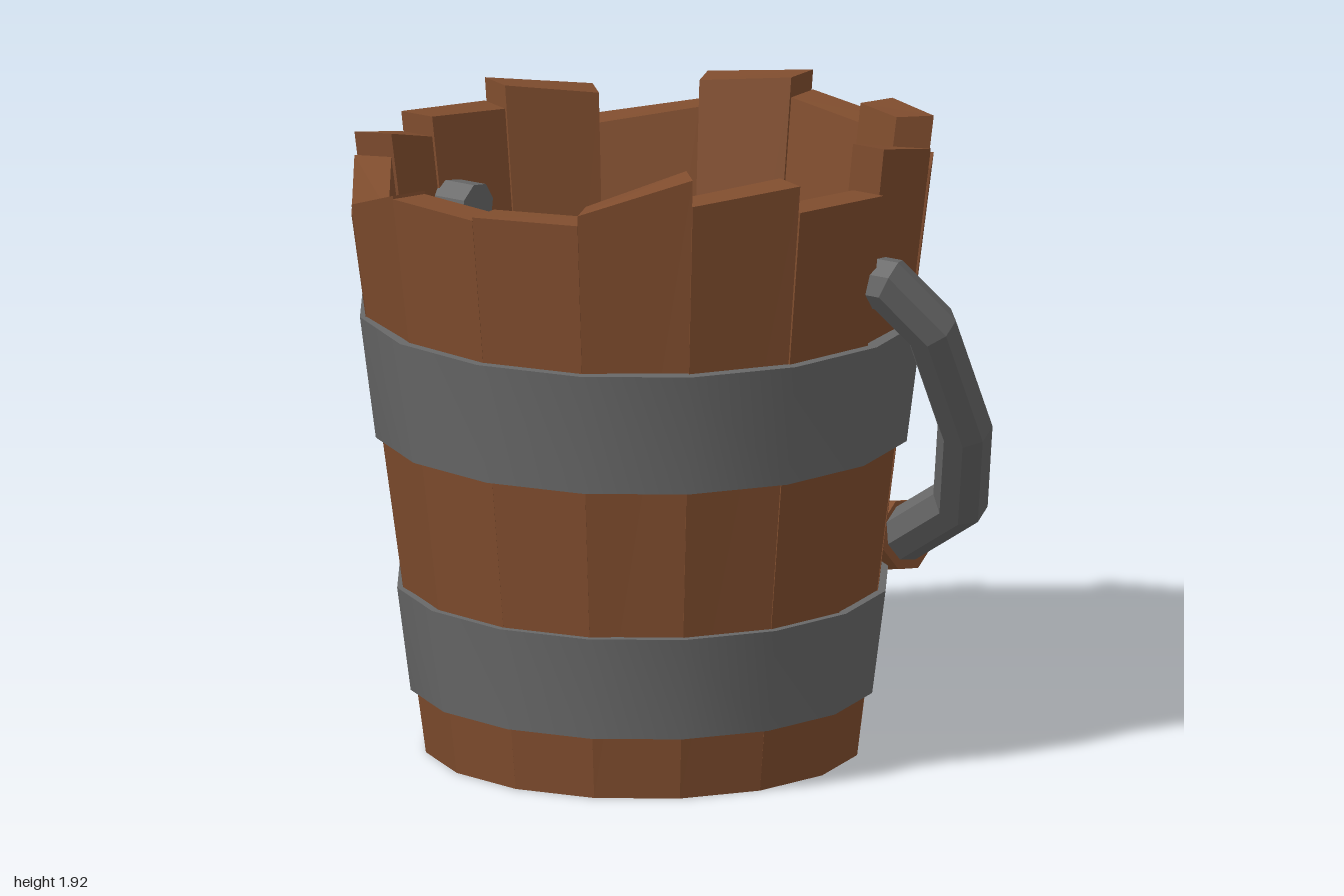
import * as THREE from 'three';
import { toCreasedNormals } from 'three/addons/utils/BufferGeometryUtils.js';

const SIDES = 16;
const STEP = (Math.PI * 2) / SIDES;
const AXIS_X = -0.03; // the tub sits slightly off centre, the handle balances it

// Top heights of each stave at its two edges, starting at +x and turning towards +z
const STAVE_TOPS = [
  [1.78, 1.76], [1.82, 1.85], [1.74, 1.78], [1.84, 1.92],
  [1.78, 1.79], [1.87, 1.84], [1.92, 1.81], [1.78, 1.77],
  [1.76, 1.76], [1.77, 1.66], [1.63, 1.72], [1.79, 1.71],
  [1.77, 1.74], [1.81, 1.76], [1.67, 1.72], [1.80, 1.84],
];

// A box bent into a tapered stave with a slanted top
function staveGeometry(k, [startTop, endTop]) {
  const g = new THREE.BoxGeometry(1, 1, 1);
  const p = g.attributes.position;
  for (let i = 0; i < p.count; i++) {
    const f = 0.5 - p.getX(i);
    const top = p.getY(i) > 0;
    const outer = p.getZ(i) > 0;
    const r = top ? (outer ? 0.86 : 0.75) : (outer ? 0.64 : 0.53);
    const a = (k + f) * STEP;
    const y = top ? startTop + (endTop - startTop) * f : 0;
    p.setXYZ(i, Math.cos(a) * r, y, Math.sin(a) * r);
  }
  const flat = g.toNonIndexed();
  flat.computeVertexNormals();
  return flat;
}

// Closed metal hoop with smooth sides and sharp rims
function hoopGeometry(y0, r0, y1, r1) {
  const t = 0.05;
  const profile = [[r0, y0], [r1, y1], [r1 - t, y1], [r0 - t, y0], [r0, y0]];
  const g = new THREE.LatheGeometry(profile.map(([r, y]) => new THREE.Vector2(r, y)), SIDES);
  return toCreasedNormals(g, 0.7);
}

// Faceted bar with mitred corners along a path lying in the plane with normal n
function barGeometry(path, n, radius, sides = 8) {
  const pos = [];
  const index = [];
  const push = (v) => pos.push(v.x, v.y, v.z);
  path.forEach((pt, i) => {
    const before = pt.clone().sub(path[Math.max(i - 1, 0)]).normalize();
    const after = path[Math.min(i + 1, path.length - 1)].clone().sub(pt).normalize();
    const t = before.clone().add(after).normalize();
    const stretch = 1 / t.dot(i ? before : after);
    const m = t.clone().cross(n);
    for (let j = 0; j < sides; j++) {
      const a = ((j + 0.5) / sides) * Math.PI * 2;
      push(pt.clone()
        .addScaledVector(n, Math.cos(a) * radius)
        .addScaledVector(m, Math.sin(a) * radius * stretch));
    }
  });
  const last = path.length - 1;
  push(path[0]);
  push(path[last]);
  const c0 = path.length * sides;
  for (let j = 0; j < sides; j++) {
    const k = (j + 1) % sides;
    for (let i = 0; i < last; i++) {
      const a = i * sides + j, b = i * sides + k;
      index.push(a, b, b + sides, a, b + sides, a + sides);
    }
    index.push(c0, k, j, c0 + 1, last * sides + j, last * sides + k);
  }
  const g = new THREE.BufferGeometry();
  g.setAttribute('position', new THREE.Float32BufferAttribute(pos, 3));
  g.setIndex(index);
  const flat = g.toNonIndexed();
  flat.computeVertexNormals();
  return flat;
}

export function createModel() {
  const wood = new THREE.MeshStandardMaterial({ color: 0x804d2e });
  wood.name = 'wood';
  const iron = new THREE.MeshStandardMaterial({ color: 0x686868 });
  iron.name = 'iron';

  const model = new THREE.Group();
  model.name = 'bucket';
  const add = (parent, name, geometry, material) => {
    const mesh = new THREE.Mesh(geometry, material);
    mesh.name = name;
    parent.add(mesh);
    return mesh;
  };

  // Tub: staves, floor and hoops
  const tub = new THREE.Group();
  tub.name = 'tub';
  tub.position.x = AXIS_X;
  model.add(tub);
  STAVE_TOPS.forEach((tops, k) => add(tub, `stave${k + 1}`, staveGeometry(k, tops), wood));
  const floor = new THREE.CylinderGeometry(0.556, 0.532, 0.2, SIDES).toNonIndexed();
  floor.computeVertexNormals();
  add(tub, 'floor', floor, wood).position.y = 0.1;
  add(tub, 'upperHoop', hoopGeometry(0.955, 0.788, 1.32, 0.835), iron);
  add(tub, 'lowerHoop', hoopGeometry(0.19, 0.685, 0.5, 0.725), iron);

  // Swinging handle, hanging down towards +x
  const handle = new THREE.Group();
  handle.name = 'handle';
  model.add(handle);
  const pivot = new THREE.Vector3(0.015, 1.5, 0);
  const drop = new THREE.Vector3(0.77, -1.06, 0).normalize();
  const normal = drop.clone().cross(new THREE.Vector3(0, 0, 1));
  const at = ([s, z]) => pivot.clone().addScaledVector(drop, s).setZ(z);

  // Each arm: peg through the wall, elbow, then the curve to the grip
  const arm = [[0, 0.62], [0, 0.845], [0.17, 0.925], [0.62, 0.86], [0.99, 0.69], [1.22, 0.38]];
  for (const side of [1, -1]) {
    const path = arm.map(([s, z]) => at([s, z * side]));
    add(handle, side > 0 ? 'frontArm' : 'backArm', barGeometry(path, normal, 0.08), iron);
  }
  const gripPath = [[1.205, 0.41], [1.305, 0], [1.205, -0.41]].map(at);
  add(handle, 'grip', barGeometry(gripPath, normal, 0.107), wood);

  return model;
}
